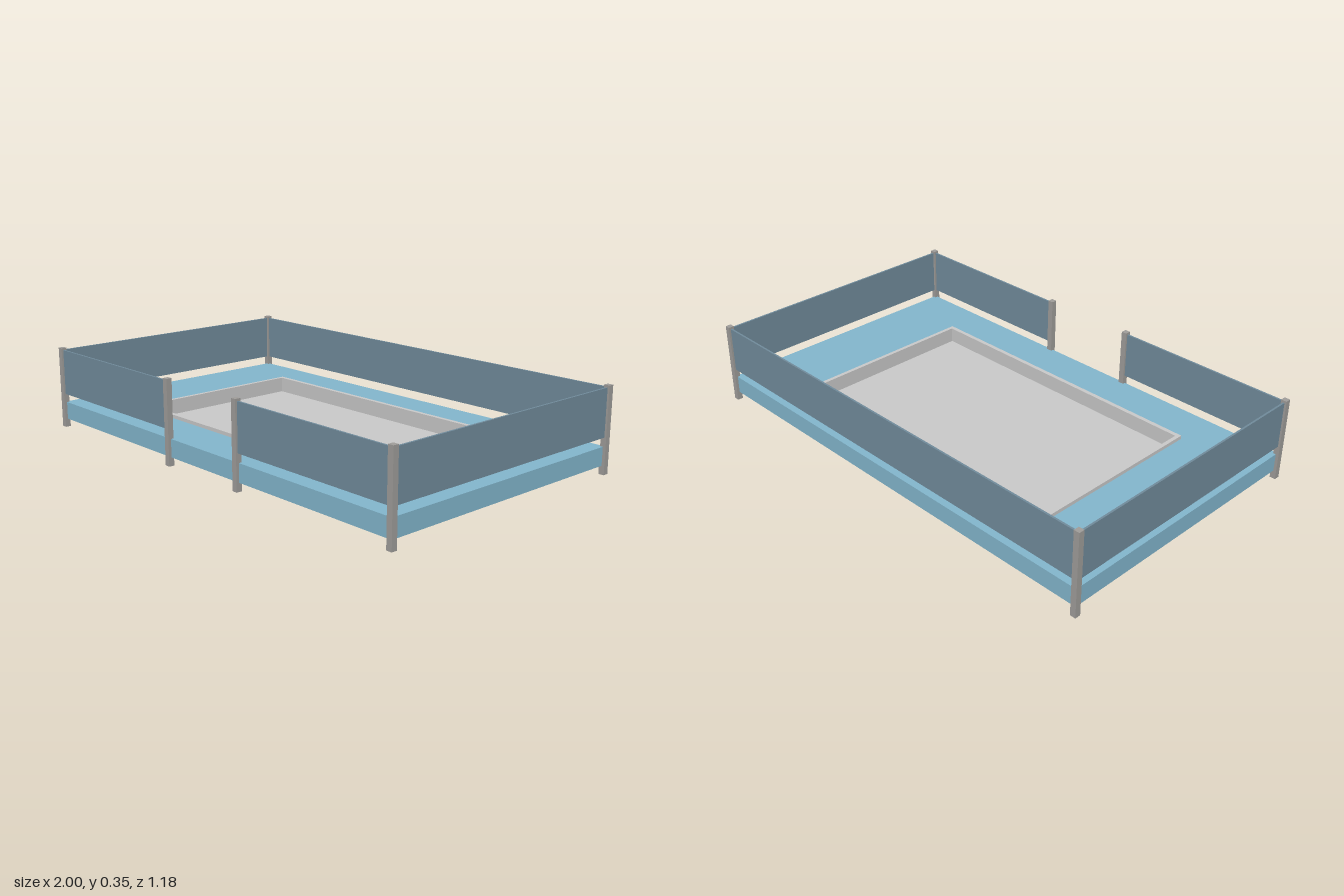
import * as THREE from 'three';

const grey = new THREE.MeshStandardMaterial({ color: 0xcccccc });
const postMat = new THREE.MeshStandardMaterial({ color: 0xa19f9c });
const deckMat = new THREE.MeshStandardMaterial({ color: 0x84b8cf });
const panelMat = new THREE.MeshStandardMaterial({ color: 0x728d9d });

const X = 0.988, Z = 0.578;          // centre lines of the corner posts
const POST = 0.024, GATE = 0.21;     // post width, half width of the entrance

function box(name, mat, w, h, d, x, y0, z) {
  const mesh = new THREE.Mesh(new THREE.BoxGeometry(w, h, d), mat);
  mesh.name = name;
  mesh.position.set(x, y0 + h / 2, z);
  return mesh;
}

// Rectangular frame lying flat, from y0 to y1, with half sizes outside and inside
function frame(name, mat, ox, oz, ix, iz, y0, y1) {
  const rect = (P, a, b) => {
    const p = new P();
    p.moveTo(-a, -b);
    p.lineTo(a, -b);
    p.lineTo(a, b);
    p.lineTo(-a, b);
    p.closePath();
    return p;
  };
  const shape = rect(THREE.Shape, ox, oz);
  shape.holes.push(rect(THREE.Path, ix, iz));
  const geo = new THREE.ExtrudeGeometry(shape, { depth: y1 - y0, bevelEnabled: false });
  geo.rotateX(-Math.PI / 2);
  geo.translate(0, y0, 0);
  const mesh = new THREE.Mesh(geo, mat);
  mesh.name = name;
  return mesh;
}

export function createModel() {
  const model = new THREE.Group();
  model.name = 'poolDeck';

  // Deck with an opening, closed underneath
  model.add(frame('deck', deckMat, X, Z, 0.66, 0.39, 0.045, 0.11));
  model.add(box('deckUnderside', deckMat, 2 * X, 0.01, 2 * Z, 0, 0.035, 0));

  // Sunken basin: walls with a raised rim, and a floor
  model.add(frame('basinWalls', grey, 0.665, 0.393, 0.649, 0.375, 0.05, 0.125));
  model.add(box('basinFloor', grey, 1.3, 0.01, 0.752, 0, 0.05, 0));

  // Posts at the corners and beside the entrance
  for (const s of [-1, 1]) {
    for (const z of [-Z, Z]) model.add(box('cornerPost', postMat, POST, 0.35, POST, s * X, 0, z));
    model.add(box('entrancePost', postMat, POST, 0.35, POST, s * GATE, 0, Z));
  }

  // Thin fence panels between the posts
  const h = 0.194, y = 0.147, t = 0.008;
  model.add(box('backPanel', panelMat, 2 * X, h, t, 0, y, -Z));
  for (const s of [-1, 1]) {
    model.add(box('sidePanel', panelMat, t, h, 2 * Z, s * X, y, 0));
    model.add(box('frontPanel', panelMat, X - GATE, h, t, s * (X + GATE) / 2, y, Z));
  }
  return model;
}
